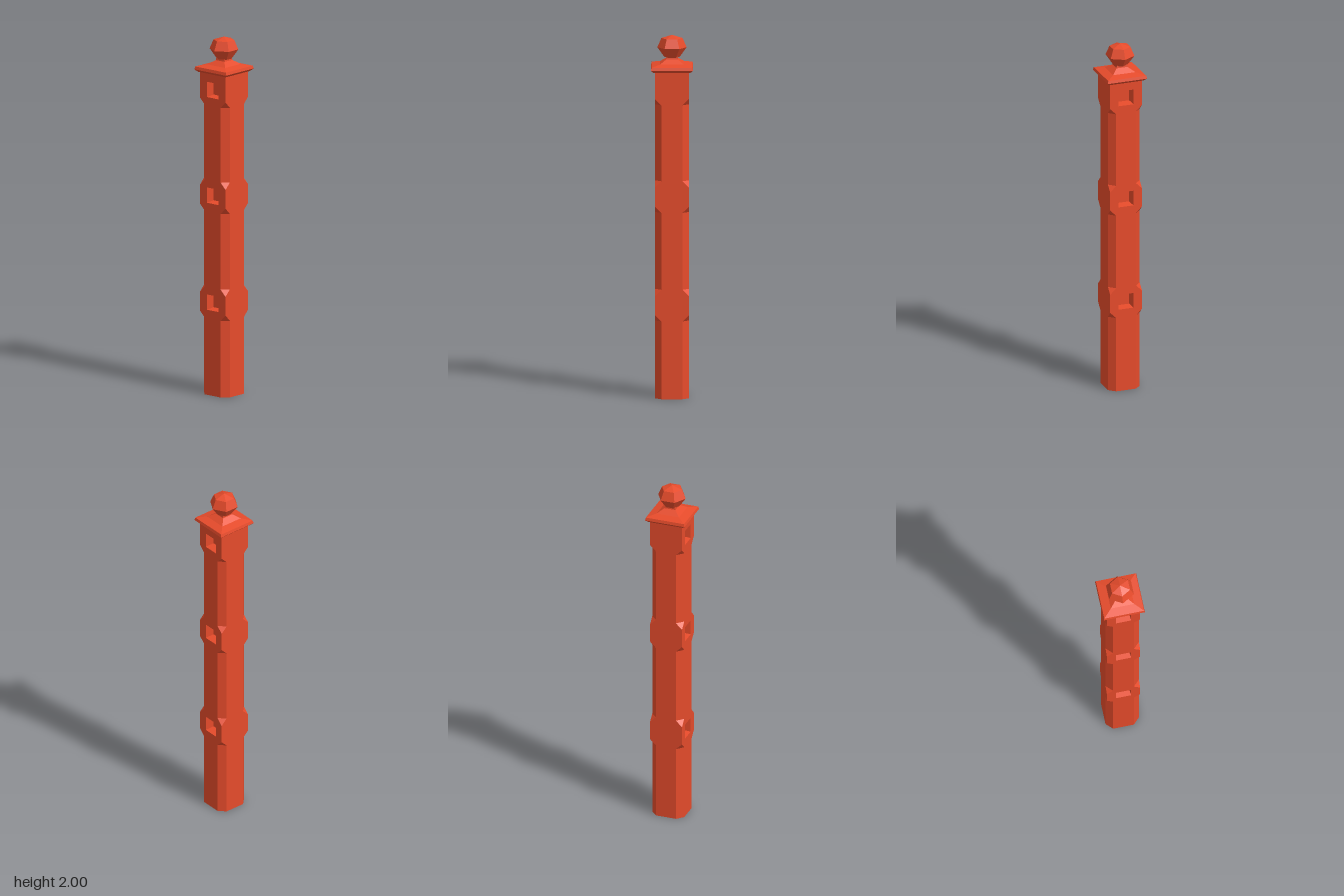
import * as THREE from 'three';

const H = 0.093;   // half width of the post
const C = 0.058;   // half width of a face where the corners are chamfered
const T = 0.035;   // height of a chamfer stop
const SOCKETS = [0.52, 1.12, 1.713];
const HOLE = 0.043, HOLE_IN = 0.037, DEPTH = 0.05;

// [y, half width of the flat face] from the ground to the cap
const PROFILE = [
  [0, C], [0.43, C], [0.43 + T, H], [0.605 - T, H],
  [0.605, C], [1.03, C], [1.03 + T, H], [1.205 - T, H],
  [1.205, C], [1.625, C], [1.625 + T, H], [1.81, H],
];

const paint = (side = THREE.FrontSide) =>
  new THREE.MeshStandardMaterial({ color: 0xe64b2b, flatShading: true, side });

function addMesh(parent, name, geometry, material) {
  const geo = geometry.index ? geometry.toNonIndexed() : geometry;
  geo.computeVertexNormals();
  const mesh = new THREE.Mesh(geo, material);
  mesh.name = name;
  parent.add(mesh);
  return mesh;
}

// Faceted solid of revolution; with 4 sides the radii are half widths of a square
function turned(points, sides) {
  const k = sides === 4 ? Math.SQRT2 : 1;
  const pts = points.map(([r, y]) => new THREE.Vector2(r * k, y));
  return new THREE.LatheGeometry(pts, sides, sides === 4 ? Math.PI / 4 : 0, Math.PI * 2);
}

// Flat side of the post, optionally pierced by the socket openings
function sideFace(pierced) {
  const outline = [
    ...PROFILE.map(([y, w]) => new THREE.Vector2(w, y)),
    ...[...PROFILE].reverse().map(([y, w]) => new THREE.Vector2(-w, y)),
  ];
  const shape = new THREE.Shape(outline);
  if (pierced) {
    for (const y of SOCKETS) {
      shape.holes.push(new THREE.Path([
        new THREE.Vector2(-HOLE, y - HOLE), new THREE.Vector2(-HOLE, y + HOLE),
        new THREE.Vector2(HOLE, y + HOLE), new THREE.Vector2(HOLE, y - HOLE),
      ]));
    }
  }
  return new THREE.ShapeGeometry(shape).translate(0, 0, H);
}

// Chamfers and their sloping stops along one corner
function cornerChamfer() {
  const pos = [];
  for (let i = 0; i < PROFILE.length - 1; i++) {
    const [y0, w0] = PROFILE[i], [y1, w1] = PROFILE[i + 1];
    const a0 = [w0, y0, H], b0 = [H, y0, w0], a1 = [w1, y1, H], b1 = [H, y1, w1];
    if (w0 < H) pos.push(...a0, ...b0, ...b1);
    if (w1 < H) pos.push(...a0, ...b1, ...a1);
  }
  return new THREE.BufferGeometry()
    .setAttribute('position', new THREE.Float32BufferAttribute(pos, 3));
}

export function createModel() {
  const model = new THREE.Group();
  model.name = 'fencePost';
  const solid = paint(), open = paint(THREE.DoubleSide);

  // Shaft: four faces and four chamfered corners
  const shaft = new THREE.Group();
  shaft.name = 'shaft';
  model.add(shaft);
  for (let i = 0; i < 4; i++) {
    const angle = i * Math.PI / 2;
    addMesh(shaft, 'shaftFace', sideFace(i % 2 === 0), solid).rotation.y = angle;
    addMesh(shaft, 'cornerChamfer', cornerChamfer(), solid).rotation.y = angle;
  }

  // Octagonal underside
  const foot = new THREE.Shape([
    [C, H], [-C, H], [-H, C], [-H, -C], [-C, -H], [C, -H], [H, -C], [H, C],
  ].map(([x, z]) => new THREE.Vector2(x, z)));
  addMesh(shaft, 'underside', new THREE.ShapeGeometry(foot).rotateX(Math.PI / 2), solid);

  // Recessed rail sockets on the front and back
  for (const turn of [0, Math.PI]) {
    for (const y of SOCKETS) {
      const socket = turned([[0, -DEPTH], [HOLE_IN, -DEPTH], [HOLE, 0]], 4)
        .rotateX(Math.PI / 2).translate(0, y, H);
      addMesh(model, 'railSocket', socket, open).rotation.y = turn;
    }
  }

  // Square cap with a sloping top
  addMesh(model, 'cap', turned([
    [0, 1.804], [0.1, 1.804], [0.115, 1.818], [0.111, 1.834], [0.065, 1.845], [0, 1.845],
  ], 4), solid);

  // Square neck under the finial
  addMesh(model, 'finialNeck', turned([[0.065, 1.845], [0.032, 1.868], [0.028, 1.89]], 4), solid);

  // Six-sided ball finial
  addMesh(model, 'finialBall', turned([
    [0, 1.876], [0.042, 1.878], [0.08, 1.931], [0.058, 1.982], [0, 2],
  ], 6), solid);

  return model;
}
